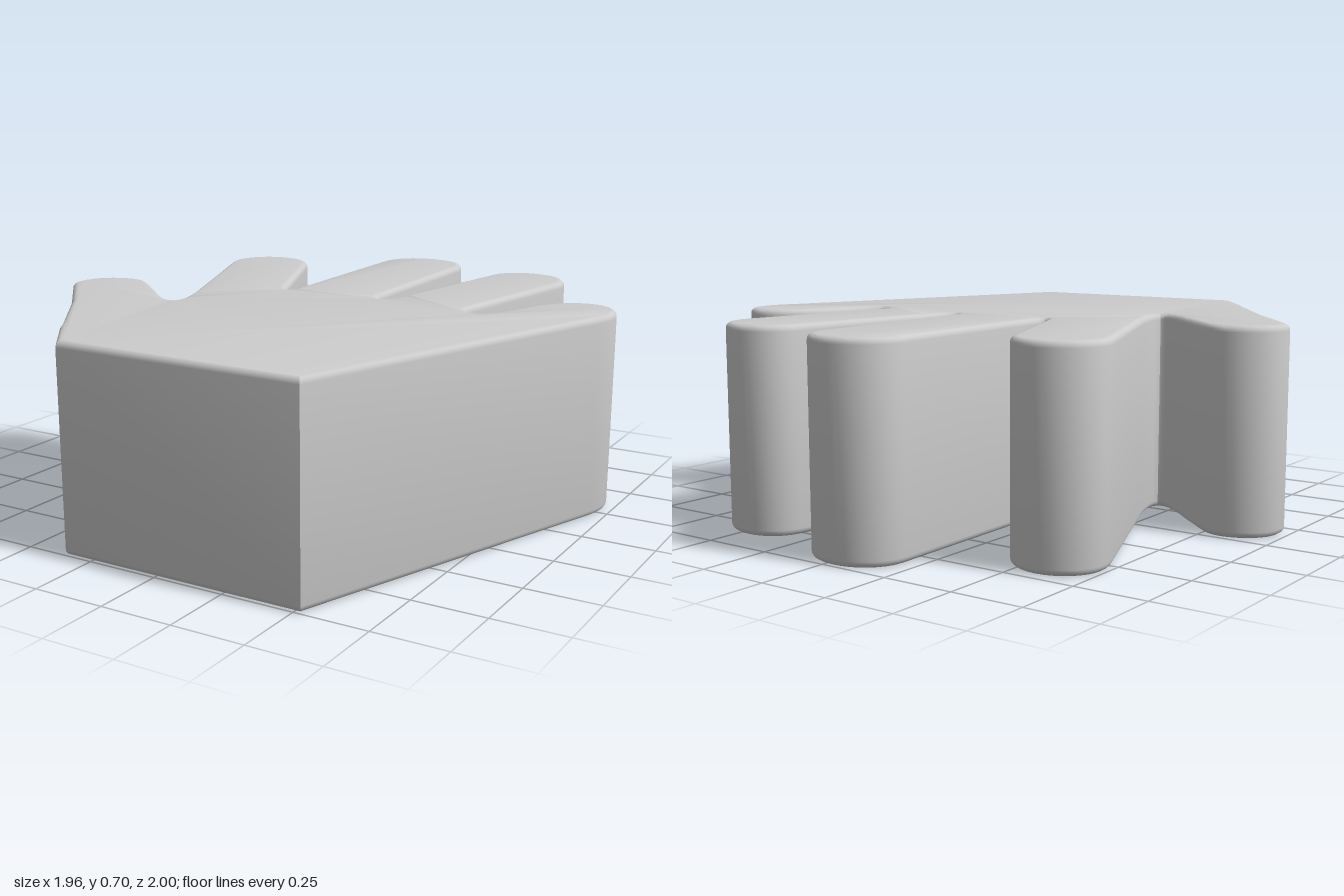
import * as THREE from 'three';
import { toCreasedNormals } from 'three/addons/utils/BufferGeometryUtils.js';

// Outline seen from above in (x, z): pairs are straight lines, sixes are Bezier curves
const littleFinger = [
  [0.955, -0.18],
  [0.97, -0.22, 0.976, -0.25, 0.976, -0.28],
  [0.976, -0.36, 0.925, -0.415, 0.855, -0.415],
  [0.79, -0.415, 0.74, -0.37, 0.706, -0.31],
  [0.66, -0.23, 0.635, -0.08, 0.58, -0.055],
  [0.54, -0.055, 0.508, -0.09, 0.515, -0.13],
];
const ringFinger = [
  [0.613, -0.7],
  [0.63, -0.81, 0.555, -0.885, 0.455, -0.885],
  [0.375, -0.885, 0.32, -0.84, 0.31, -0.765],
  [0.225, -0.245],
  [0.215, -0.18, 0.2, -0.12, 0.175, -0.115],
  [0.15, -0.12, 0.14, -0.17, 0.14, -0.22],
];
const middleFinger = [
  [0.13, -0.855],
  [0.13, -0.94, 0.06, -1, -0.035, -1],
  [-0.135, -1, -0.205, -0.935, -0.205, -0.845],
  [-0.19, -0.14],
  [-0.19, -0.08, -0.215, -0.08, -0.257, -0.2],
];
const indexFinger = [
  [-0.44, -0.627],
  [-0.47, -0.69, -0.53, -0.722, -0.59, -0.722],
  [-0.69, -0.722, -0.78, -0.63, -0.733, -0.51],
  [-0.49, 0.07],
  [-0.455, 0.155, -0.43, 0.24, -0.437, 0.265],
];
const thumb = [
  [-0.445, 0.31, -0.53, 0.235, -0.605, 0.16],
  [-0.733, 0.045],
  [-0.765, 0.015, -0.795, 0.005, -0.828, 0.005],
  [-0.91, 0.005, -0.979, 0.07, -0.979, 0.145],
  [-0.979, 0.17, -0.98, 0.185, -0.965, 0.205],
  [-0.75, 0.463],
  [-0.55, 0.735],
  [-0.5, 0.81],
];

export function createModel() {
  const group = new THREE.Group();
  const height = 0.7, bevel = 0.022;

  // Palm edge at the wrist, then each finger in turn
  const shape = new THREE.Shape();
  shape.moveTo(-0.35, 1 * -1);
  shape.lineTo(0.526, -1);
  for (const s of [littleFinger, ringFinger, middleFinger, indexFinger, thumb].flat()) {
    const p = s.map((v, i) => (i % 2 ? -v : v)); // shape y is -z
    if (p.length === 2) shape.lineTo(...p);
    else shape.bezierCurveTo(...p);
  }
  shape.closePath();

  // Thick slab with softly rounded rims, laid flat
  const slab = new THREE.ExtrudeGeometry(shape, {
    depth: height - 2 * bevel,
    curveSegments: 10,
    bevelEnabled: true,
    bevelThickness: bevel,
    bevelSize: bevel,
    bevelOffset: -bevel,
    bevelSegments: 4,
  });
  slab.translate(0, 0, bevel);
  slab.rotateX(-Math.PI / 2);

  const hand = new THREE.Mesh(
    toCreasedNormals(slab, 0.6),
    new THREE.MeshStandardMaterial({ color: 0xcccccc })
  );
  hand.name = 'openHand';
  group.add(hand);
  return group;
}
